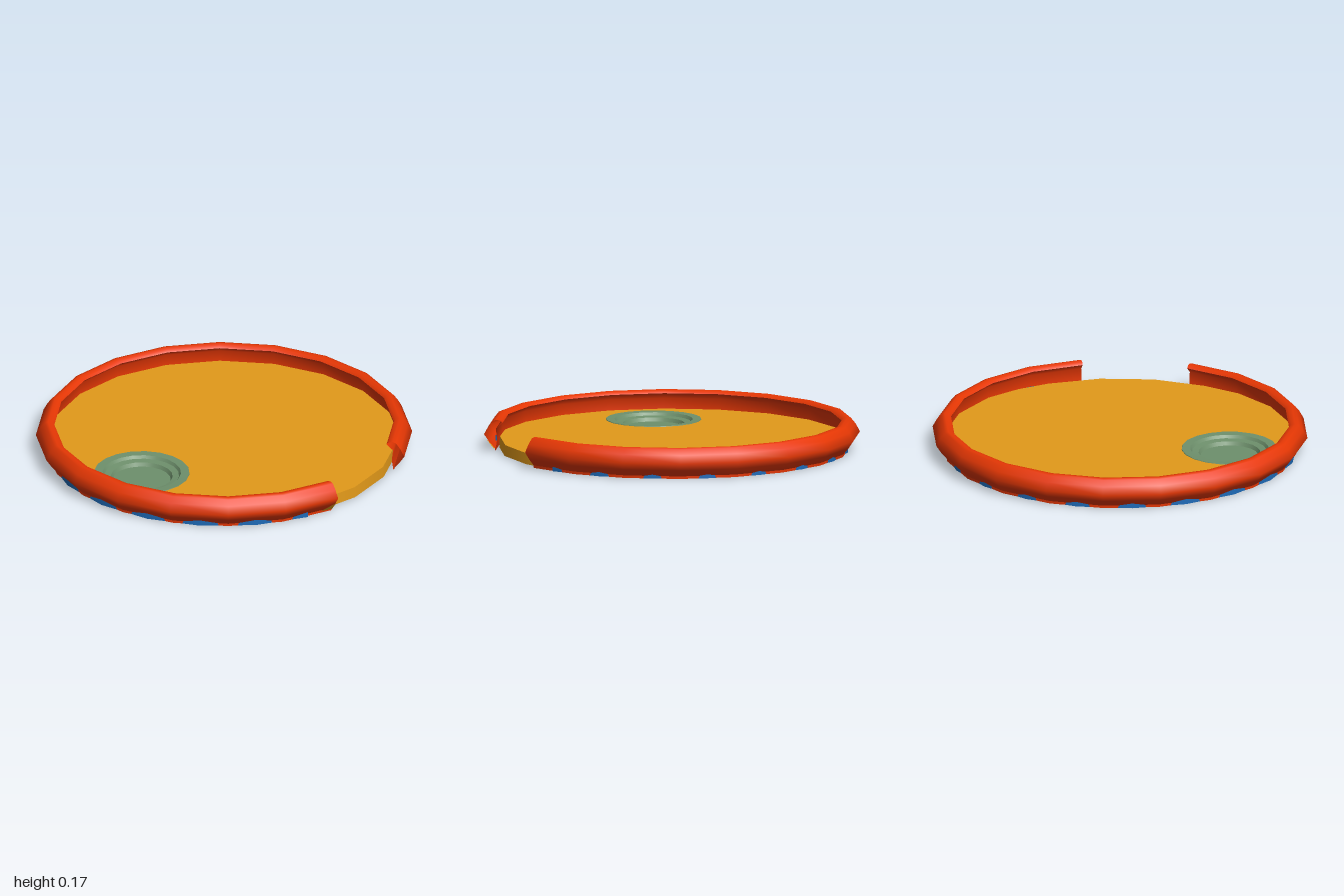
import * as THREE from 'three';

const rad = THREE.MathUtils.degToRad;
const polar = (r, deg) => new THREE.Vector2(r * Math.cos(rad(deg)), r * Math.sin(rad(deg)));
const points = (list) => list.map(([r, y]) => new THREE.Vector2(r, y));

function material(name, color) {
  const m = new THREE.MeshStandardMaterial({ color, side: THREE.DoubleSide });
  m.name = name;
  return m;
}

// Lathe between two angles measured from +x towards +z
function arcLathe(profile, fromDeg, toDeg, segments) {
  return new THREE.LatheGeometry(points(profile), segments, rad(90 - toDeg), rad(toDeg - fromDeg));
}

export function createModel() {
  const model = new THREE.Group();
  model.name = 'roundTray';
  const red = material('orange red', 0xe93804);
  const gold = material('golden yellow', 0xe39a1a);
  const green = material('grey green', 0x6e906c);
  const blue = material('blue', 0x1e6bb8);

  const add = (name, geometry, mat, parent = model) => {
    const mesh = new THREE.Mesh(geometry, mat);
    mesh.name = name;
    parent.add(mesh);
    return mesh;
  };

  // Thin twenty-sided floor with a drain opening, tucked under the rim except at the gap
  const drainX = -0.525, drainZ = 0.31;
  const floorOutline = [];
  for (let deg = 0; deg < 360; deg += 18) {
    floorOutline.push(polar(deg >= 18 && deg <= 72 ? 0.92 : 0.947, deg));
  }
  const floorShape = new THREE.Shape(floorOutline);
  floorShape.holes.push(new THREE.Path(Array.from({ length: 20 }, (_, i) =>
    polar(0.25, i * 18).add(new THREE.Vector2(drainX, drainZ)))));
  const floorGeometry = new THREE.ShapeGeometry(floorShape).scale(1, -1, 1).rotateX(-Math.PI / 2);
  add('floor', floorGeometry.translate(0, 0.062, 0), gold);

  // Floor edge showing in the gap
  add('floorEdge', arcLathe([[0.924, 0.004], [0.92, 0.062]], 18, 72, 3), gold);

  // Stepped drain dish; each step is its own band, which keeps the creases sharp
  const drain = new THREE.Group();
  drain.name = 'drain';
  drain.position.set(drainX, 0, drainZ);
  const drainProfile = [[0, 0.022], [0.155, 0.022], [0.165, 0.042], [0.2, 0.047], [0.21, 0.063],
    [0.255, 0.065], [0.257, 0.06]];
  for (let i = 0; i < drainProfile.length - 1; i++) {
    // listed from the outside inwards so the faces point up
    const band = drainProfile.slice(i, i + 2).reverse();
    add('drainBand', arcLathe(band, 0, 360, 20), green, drain);
  }
  model.add(drain);

  // Hollow rim, open at the front left: curved shell, undercut inner wall and lower trim
  const rim = new THREE.Group();
  rim.name = 'rim';
  const shell = [[0.947, 0.014], [0.978, 0.05], [1.005, 0.09], [0.982, 0.132], [0.958, 0.162],
    [0.94, 0.167], [0.918, 0.163], [0.906, 0.15]];
  const innerWall = [[0.906, 0.15], [0.942, 0.118], [0.935, 0.062], [0.944, 0]];
  const trim = [[0.946, 0], [0.947, 0.014]];
  add('rimShell', arcLathe(shell, 66, 390, 18), red, rim);
  add('rimInnerWall', arcLathe(innerWall, 66, 390, 18), red, rim);
  add('rimTrim', arcLathe(trim, 66, 390, 18), red, rim);
  model.add(rim);

  // Small golden corner showing at one rim end
  const a = polar(1, 66), b = polar(1, 66).lerp(polar(1, 84), 0.24);
  const chip = new THREE.BufferGeometry().setFromPoints([
    new THREE.Vector3(a.x * 0.99, 0.06, a.y * 0.99),
    new THREE.Vector3(a.x * 0.951, 0.01, a.y * 0.951),
    new THREE.Vector3(b.x * 0.951, 0.01, b.y * 0.951)]);
  chip.computeVertexNormals();
  add('rimCorner', chip, gold);

  // Blue base band, turned half a side so that it shows between the red facets
  const band = add('baseBand', arcLathe([[0.946, 0], [0.946, 0.058]], 75, 381, 17), blue);
  band.position.set(-0.003, 0, 0.003);

  return model;
}
